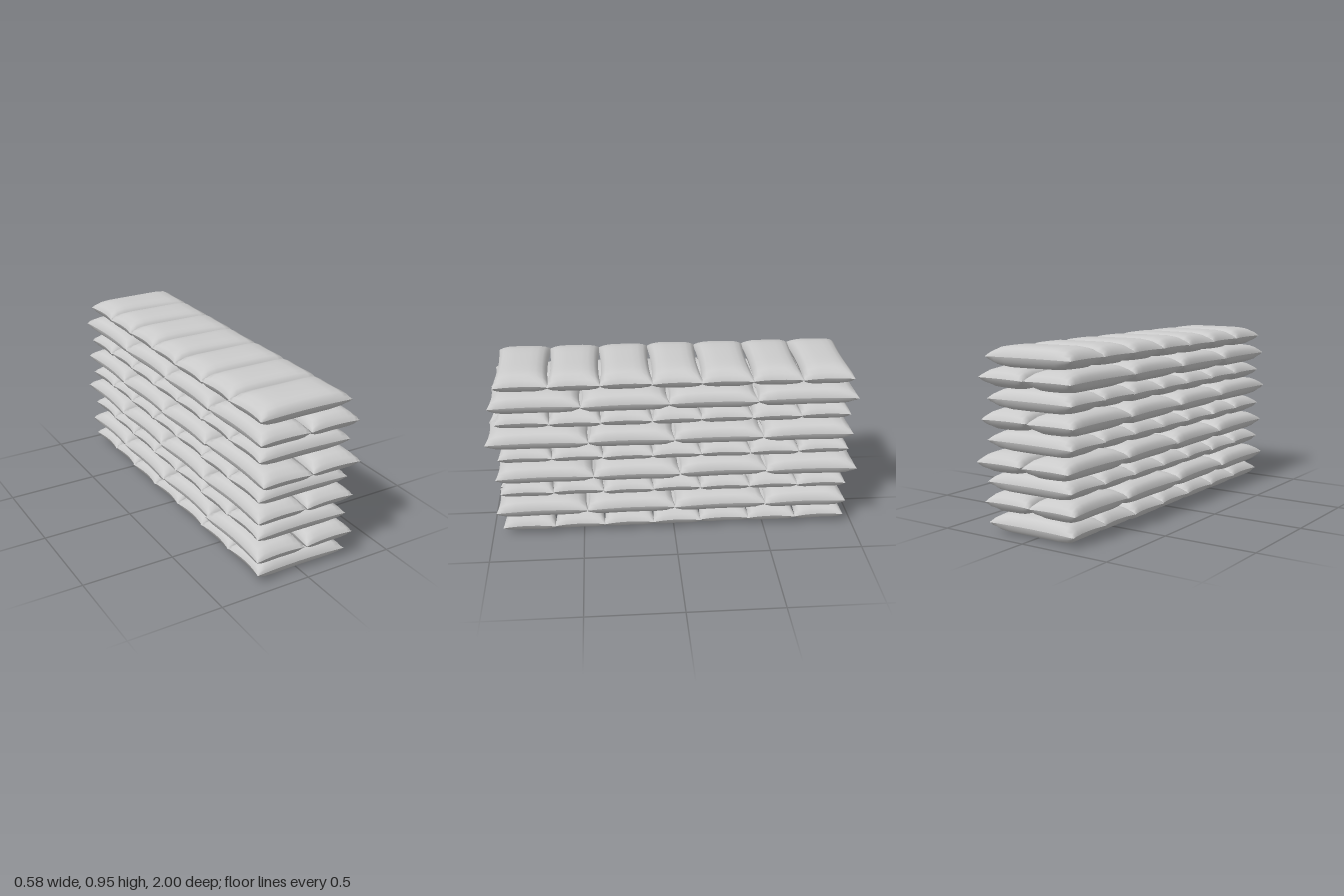
import * as THREE from 'three';
import { mergeGeometries } from 'three/addons/utils/BufferGeometryUtils.js';

const SEG = 10;
const material = new THREE.MeshStandardMaterial({ color: 0xcccccc });

// Small seeded generator, returns -1..1
let seed = 7;
function jitter() {
  seed = (seed * 16807) % 2147483647;
  return (seed / 2147483647) * 2 - 1;
}

// One half of a pillow: a sheet that bulges in the middle and pinches to a seam,
// with its edges drawn in so the corners stand out as ears
function sheet(halfX, halfZ, halfY, sign, sag) {
  const g = new THREE.PlaneGeometry(2, 2, SEG, SEG);
  g.rotateX(sign > 0 ? -Math.PI / 2 : Math.PI / 2);
  const p = g.attributes.position;
  const powX = halfX > halfZ ? 6 : 4;
  const powZ = halfX > halfZ ? 4 : 6;
  for (let i = 0; i < p.count; i++) {
    const u = Math.sin((p.getX(i) * Math.PI) / 2);
    const v = Math.sin((p.getZ(i) * Math.PI) / 2);
    const bulge = Math.sqrt(Math.max(0, (1 - Math.abs(u) ** powX) * (1 - Math.abs(v) ** powZ)));
    p.setXYZ(
      i,
      u * (halfX - 0.018 * (1 - v * v)),
      sign * halfY * bulge * (1 + sag * u * v) + 0.006 * sag * u * 5,
      v * (halfZ - 0.013 * (1 - u * u))
    );
  }
  g.computeVertexNormals();
  return g;
}

function sandbag(name, x, y, z, halfX, halfZ) {
  const sag = 0.06 * jitter();
  const halfY = 0.056;
  const geometry = mergeGeometries([
    sheet(halfX, halfZ, halfY, 1, sag),
    sheet(halfX, halfZ, halfY, -1, sag),
  ]);
  const bag = new THREE.Mesh(geometry, material);
  bag.name = name;
  bag.position.set(x + 0.005 * jitter(), y, z);
  bag.rotation.y = 0.015 * jitter();
  return bag;
}

export function createModel() {
  seed = 7;
  const wall = new THREE.Group();
  wall.name = 'sandbagWall';

  // Seam positions along z for the crosswise rows and for each lengthwise row
  const crossSeams = [0.935, 0.655, 0.385, 0.115, -0.145, -0.415, -0.675, -0.94];
  const longSeams = [
    [0.965, 0.476, 0, -0.5, -0.945],
    [0.955, 0.435, -0.03, -0.5, -0.99],
    [0.993, 0.455, 0, -0.475, -0.955],
    [0.965, 0.49, 0.03, -0.44, -0.97],
  ];

  for (let row = 0; row < 9; row++) {
    const layer = new THREE.Group();
    const crosswise = row % 2 === 0;
    const y = 0.058 + row * 0.1042;
    layer.name = crosswise ? 'crosswiseRow' : 'lengthwiseRow';
    const seams = crosswise ? crossSeams : longSeams[(row - 1) / 2];
    for (let i = 0; i < seams.length - 1; i++) {
      const z = (seams[i] + seams[i + 1]) / 2;
      const halfZ = (seams[i] - seams[i + 1]) / 2 + 0.005;
      if (crosswise) {
        layer.add(sandbag('crosswiseBag', -0.003, y, z, 0.262, halfZ));
      } else {
        // Two bags side by side
        for (const side of [-1, 1]) {
          layer.add(sandbag('lengthwiseBag', side * 0.142, y, z, 0.14, halfZ));
        }
      }
    }
    wall.add(layer);
  }
  return wall;
}
